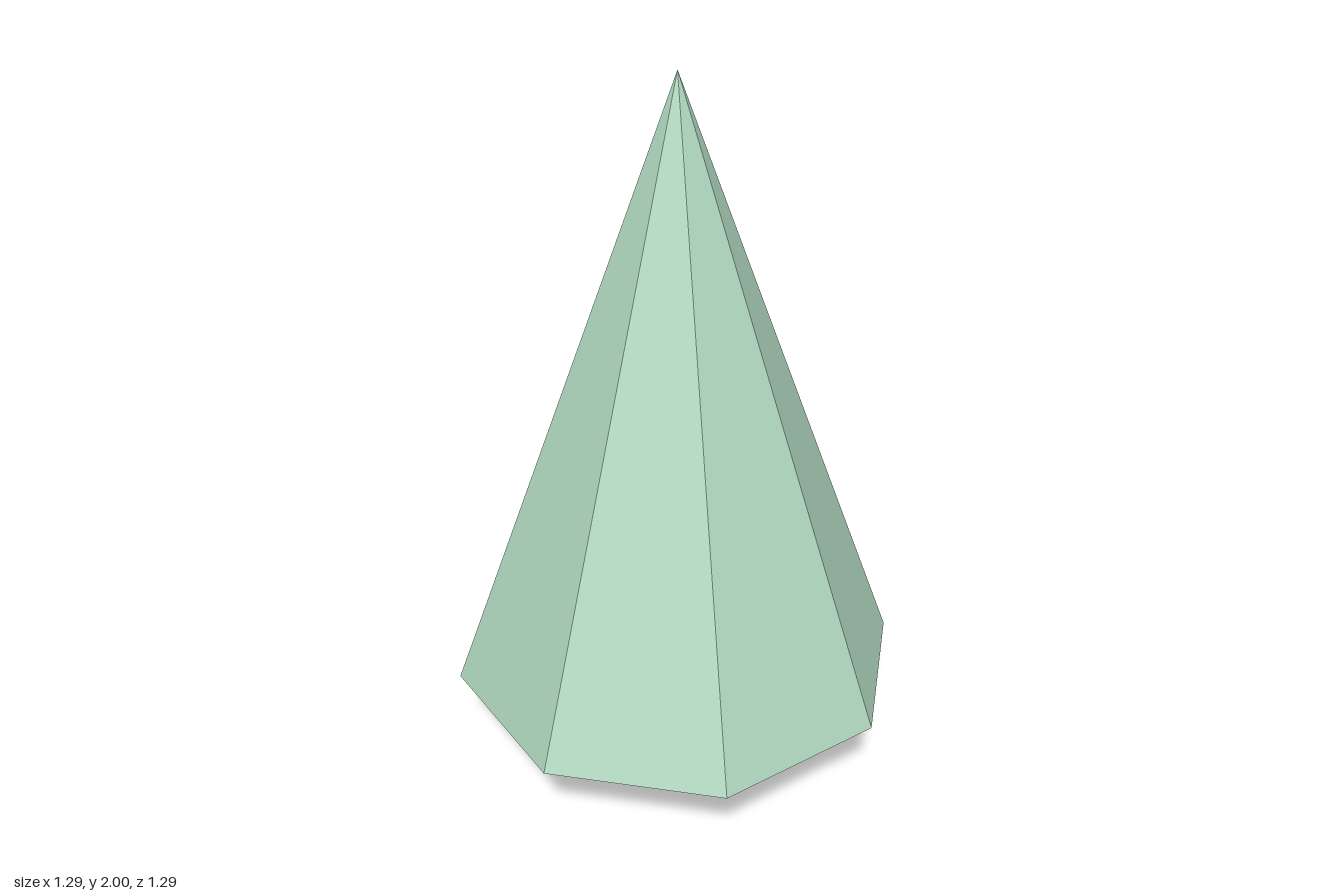
import * as THREE from 'three';

const BASE_Y = 0.265;
const TOP_Y = 2;

function addPart(group, name, geometry, color, y) {
  const material = new THREE.MeshStandardMaterial({ color, flatShading: true });
  const mesh = new THREE.Mesh(geometry, material);
  mesh.name = name;
  mesh.position.y = y;
  group.add(mesh);
  return mesh;
}

export function createModel() {
  const tree = new THREE.Group();
  tree.name = 'tree';

  // Eight-sided foliage cone, closed underneath and turned slightly
  const height = TOP_Y - BASE_Y;
  const foliage = addPart(tree, 'foliage', new THREE.ConeGeometry(0.644, height, 8), 0xb0d8bf, BASE_Y + height / 2);
  foliage.rotation.y = -0.053;

  // Thin square trunk
  addPart(tree, 'trunk', new THREE.BoxGeometry(0.06, BASE_Y, 0.06), 0xdc7c80, BASE_Y / 2);

  return tree;
}
